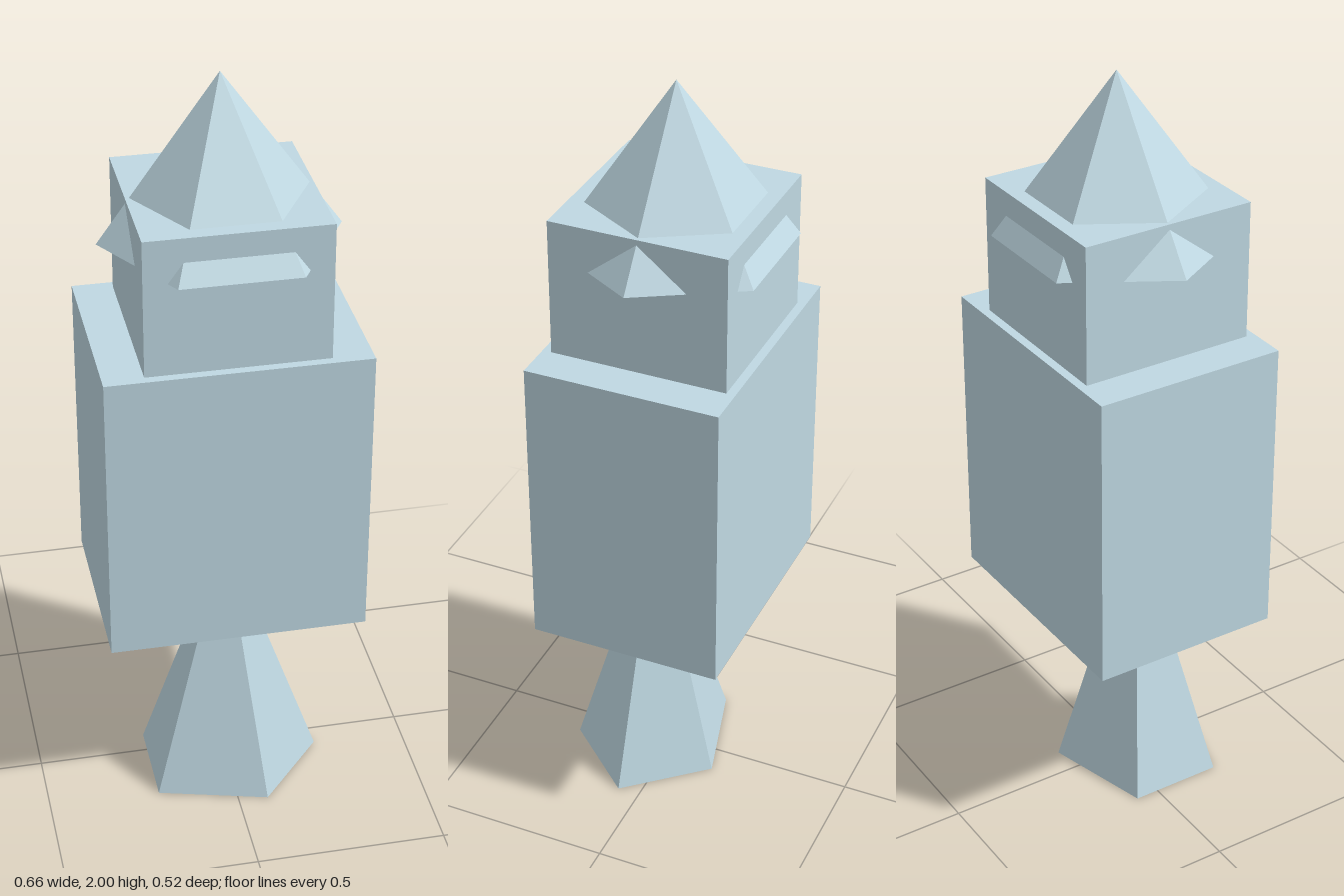
import * as THREE from 'three';

export function createModel() {
  const model = new THREE.Group();
  const material = new THREE.MeshStandardMaterial({ color: 0xbfd8e2, flatShading: true });

  const add = (name, geometry, y, z = 0) => {
    const mesh = new THREE.Mesh(geometry, material);
    mesh.name = name;
    mesh.position.set(0, y, z);
    model.add(mesh);
    return mesh;
  };
  // Faceted cone with one corner on +x
  const cone = (radius, height, sides) =>
    new THREE.ConeGeometry(radius, height, sides, 1, false, Math.PI / 2);

  // Five-sided foot, slightly flattened in depth, its tip buried in the body
  const foot = add('foot', cone(0.254, 0.73, 5), 0.365, 0.06);
  foot.scale.z = 0.83;

  add('body', new THREE.BoxGeometry(0.664, 0.788, 0.506), 0.941);
  add('head', new THREE.BoxGeometry(0.46, 0.362, 0.46), 1.514);

  // Six-sided hat whose brim pokes through the head's walls
  add('hat', cone(0.303, 0.42, 6), 1.79);

  return model;
}
